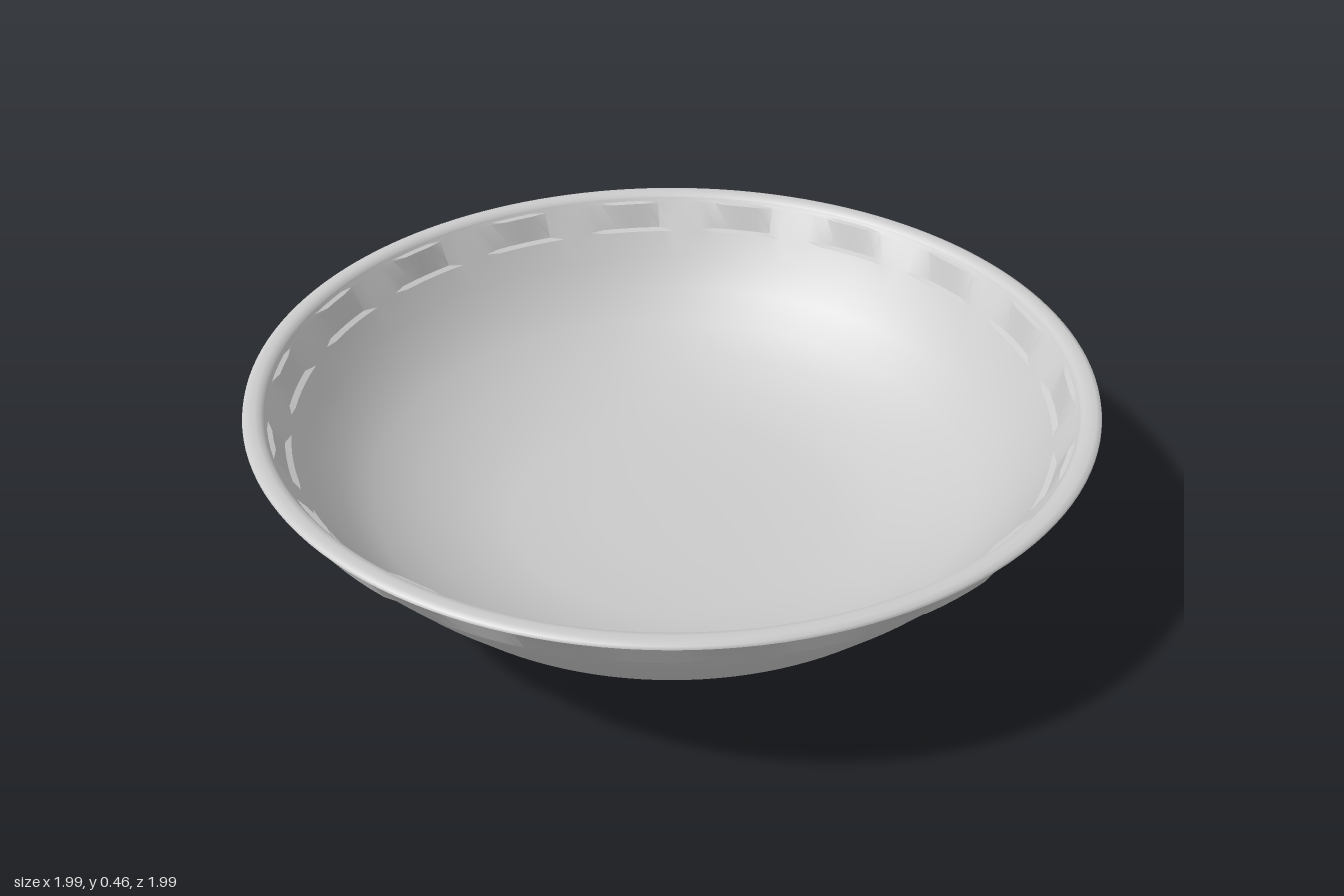
import * as THREE from 'three';
import { toCreasedNormals } from 'three/addons/utils/BufferGeometryUtils.js';

const SEGMENTS = 144;
const PANELS = 18;

// Angular distance in degrees from the nearest panel centre
function panelDistance(degrees, centre) {
  const step = 360 / PANELS;
  const d = (((degrees - centre) % step) + step) % step;
  return Math.min(d, step - d);
}

// Revolve a profile, then make a ring of steeper panels just below the rim
function bowlSurface(profile, centre, lowerShift, upperShift) {
  const points = profile.map(([r, y]) => new THREE.Vector2(r, y));
  const geometry = new THREE.LatheGeometry(points, SEGMENTS);
  const pos = geometry.attributes.position;
  for (let i = 0; i < pos.count; i++) {
    const x = pos.getX(i), y = pos.getY(i), z = pos.getZ(i);
    if (y < 0.374 || y > 0.442) continue;
    const d = panelDistance(THREE.MathUtils.radToDeg(Math.atan2(x, z)), centre);
    const lower = y < 0.41;
    if (d > (lower ? 5.1 : 3.8)) continue;
    const r = Math.hypot(x, z);
    const k = (r + (lower ? lowerShift : upperShift)) / r;
    pos.setXYZ(i, x * k, y, z * k);
  }
  return toCreasedNormals(geometry, 0.3);
}

export function createModel() {
  const group = new THREE.Group();
  group.name = 'bowl';
  const material = new THREE.MeshStandardMaterial({ color: 0xcccccc, side: THREE.DoubleSide });

  const add = (name, geometry) => {
    const mesh = new THREE.Mesh(geometry, material);
    mesh.name = name;
    group.add(mesh);
  };

  // Underside and outer wall, from the foot up to the lip
  add('outerWall', bowlSurface([
    [0, 0], [0.4, 0.004], [0.51, 0.026], [0.64, 0.092], [0.755, 0.158],
    [0.83, 0.24], [0.9, 0.325], [0.932, 0.37], [0.936, 0.376],
    [0.981, 0.44], [0.985, 0.444], [0.995, 0.452],
  ], 15, 0.01, -0.008));

  // Rounded lip joining the two walls
  const lip = [[0.995, 0.452], [0.993, 0.459], [0.982, 0.463], [0.965, 0.463], [0.953, 0.459], [0.947, 0.452]];
  add('rim', new THREE.LatheGeometry(lip.map(([r, y]) => new THREE.Vector2(r, y)), SEGMENTS));

  // Inside of the bowl, from the lip down to the floor
  add('innerWall', bowlSurface([
    [0.947, 0.452], [0.942, 0.444], [0.939, 0.44], [0.9, 0.376],
    [0.896, 0.37], [0.86, 0.31], [0.8, 0.235], [0.73, 0.172],
    [0.63, 0.116], [0.52, 0.069], [0.4, 0.042], [0.2, 0.032], [0, 0.03],
  ], 5, 0.01, -0.008));

  return group;
}
